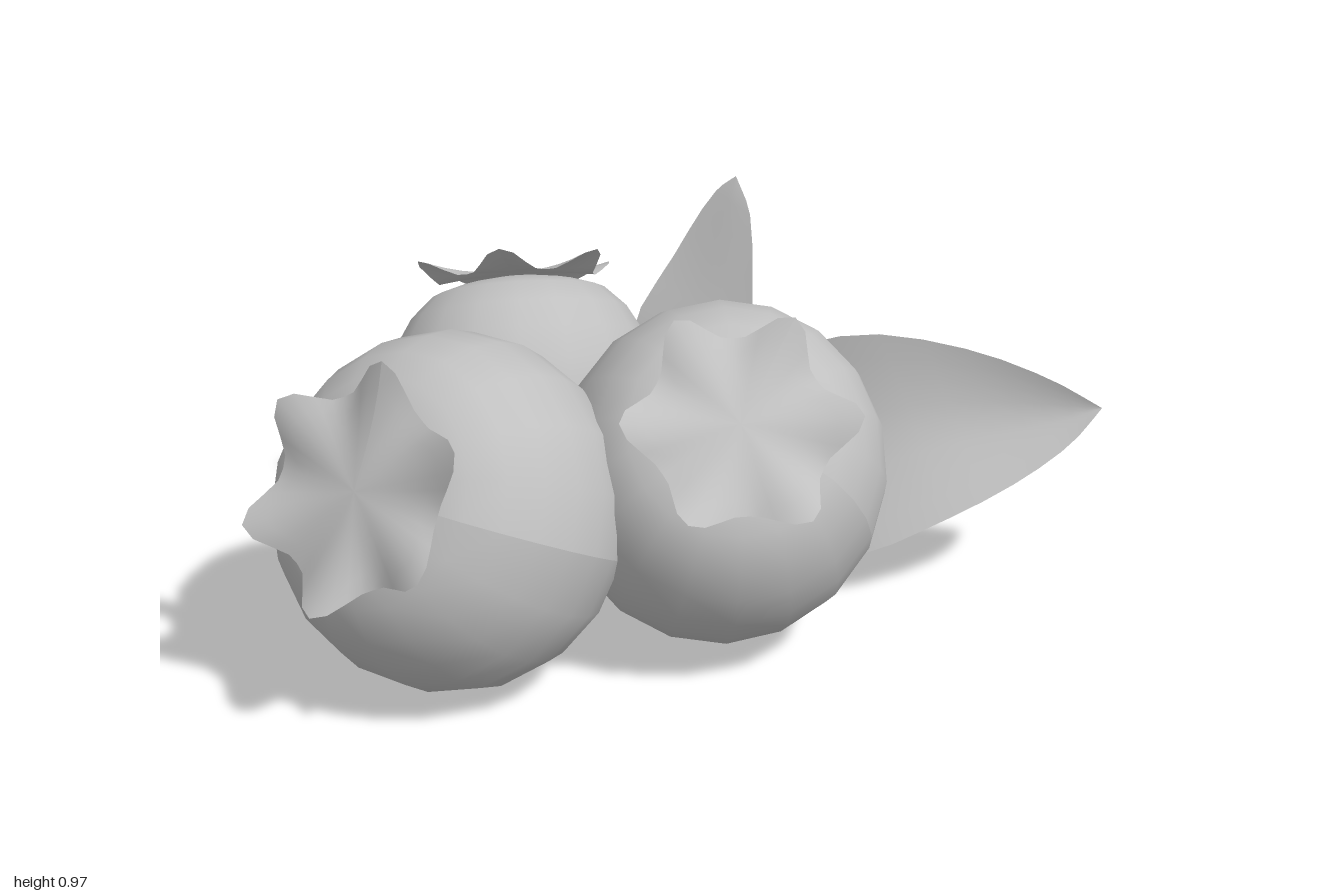
import * as THREE from 'three';

const V = (p) => new THREE.Vector3(...p);

// indexed smooth grid of points: at(row, col) -> Vector3
function grid(rows, cols, at) {
  const pos = [], idx = [];
  for (let i = 0; i <= rows; i++) {
    for (let j = 0; j <= cols; j++) {
      pos.push(...at(i / rows, j / cols).toArray());
      if (i < rows && j < cols) {
        const a = i * (cols + 1) + j, b = a + cols + 1;
        idx.push(a, b, a + 1, a + 1, b, b + 1);
      }
    }
  }
  const g = new THREE.BufferGeometry();
  g.setAttribute('position', new THREE.Float32BufferAttribute(pos, 3));
  g.setIndex(idx);
  g.computeVertexNormals();
  return g;
}

// unit sphere flattened around its crown pole (+y)
function berryGeometry() {
  const g = new THREE.SphereGeometry(1, 18, 14);
  const p = g.attributes.position;
  for (let i = 0; i < p.count; i++) {
    const y = p.getY(i);
    if (y > 0.75) p.setY(i, 0.75 + (y - 0.75) * 0.5);
  }
  g.computeVertexNormals();
  return g;
}

// six-pointed crown with upturned tips, centred at the given height
function crownGeometry(height, size) {
  return grid(6, 48, (t, u) => {
    const a = u * Math.PI * 2;
    const tip = Math.pow((1 + Math.cos(6 * a)) / 2, 1.5);
    const r = t * size * (0.76 + 0.24 * tip * t);
    const h = height - 0.018 * t * t + 0.05 * tip * t ** 3;
    return new THREE.Vector3(Math.sin(a) * r, h, Math.cos(a) * r);
  });
}

// leaf between two edge curves, bowed along the cup vector at the midrib
function leafGeometry(edgeA, edgeB, cup) {
  const a = new THREE.CatmullRomCurve3(edgeA.map(V));
  const b = new THREE.CatmullRomCurve3(edgeB.map(V));
  const bow = V(cup);
  return grid(15, 8, (t, u) => a.getPoint(t).lerp(b.getPoint(t), u)
    .addScaledVector(bow, Math.sin(Math.PI * t) * (1 - Math.abs(2 * u - 1) ** 1.5)));
}

export function createModel() {
  const model = new THREE.Group();
  const clay = new THREE.MeshStandardMaterial({ color: 0xc0c0c0, side: THREE.DoubleSide });
  clay.name = 'light grey';

  const add = (parent, name, geometry) => {
    const mesh = new THREE.Mesh(geometry, clay);
    mesh.name = name;
    parent.add(mesh);
  };

  // berries: centre, radii, crown axis, direction of one crown tip
  const berries = [
    { name: 'frontBerry', c: [-0.112, 0.446, 0.48], r: [0.437, 0.447, 0.435], axis: [0.1, 0.47, 0.87], tip: [0, 1, 0], size: 0.307 },
    { name: 'leftBerry', c: [0.265, 0.467, -0.1], r: [0.412, 0.435, 0.427], axis: [0.55, 0.66, 0.5], tip: [-0.04, 0.17, -0.24], size: 0.292 },
    { name: 'rightBerry', c: [-0.455, 0.432, -0.135], r: [0.362, 0.402, 0.392], axis: [-0.34, 0.89, -0.3], tip: [0.12, 0.14, 0.18], size: 0.28 },
  ];
  for (const { name, c, r, axis, tip, size } of berries) {
    const berry = new THREE.Group();
    berry.name = name;
    berry.position.set(...c);
    model.add(berry);

    // frame with y along the crown axis and z towards a crown tip
    const y = V(axis).normalize();
    const x = y.clone().cross(V(tip)).normalize();
    const z = x.clone().cross(y);
    const frame = new THREE.Matrix4().makeBasis(x, y, z);

    add(berry, 'berryBody', berryGeometry().applyMatrix4(frame).scale(...r));

    const reach = 1 / Math.hypot(y.x / r[0], y.y / r[1], y.z / r[2]);
    add(berry, 'crown', crownGeometry(reach * 0.875 + 0.015, size).applyMatrix4(frame));
  }

  // large leaf sweeping back and to the left
  add(model, 'largeLeaf', leafGeometry(
    [[0.03, 0.1, -0.4], [0.25, 0.1, -0.42], [0.45, 0.155, -0.485], [0.58, 0.235, -0.6], [0.71, 0.335, -0.77], [0.79, 0.43, -0.91], [0.82, 0.51, -1]],
    [[0.03, 0.1, -0.4], [-0.1, 0.4, -0.5], [0.03, 0.56, -0.595], [0.25, 0.66, -0.69], [0.5, 0.645, -0.825], [0.7, 0.58, -0.93], [0.82, 0.51, -1]],
    [-0.02, -0.03, -0.045]));

  // small upright leaf behind the berries, pinched above its base
  add(model, 'smallLeaf', leafGeometry(
    [[-0.275, 0.27, -0.445], [-0.24, 0.42, -0.45], [-0.37, 0.56, -0.49], [-0.34, 0.76, -0.63], [-0.285, 0.93, -0.74], [-0.24, 0.975, -0.77]],
    [[-0.14, 0.22, -0.43], [-0.08, 0.38, -0.43], [0.07, 0.52, -0.5], [-0.02, 0.68, -0.58], [-0.14, 0.9, -0.71], [-0.24, 0.975, -0.77]],
    [0, -0.005, 0.008]));

  return model;
}
